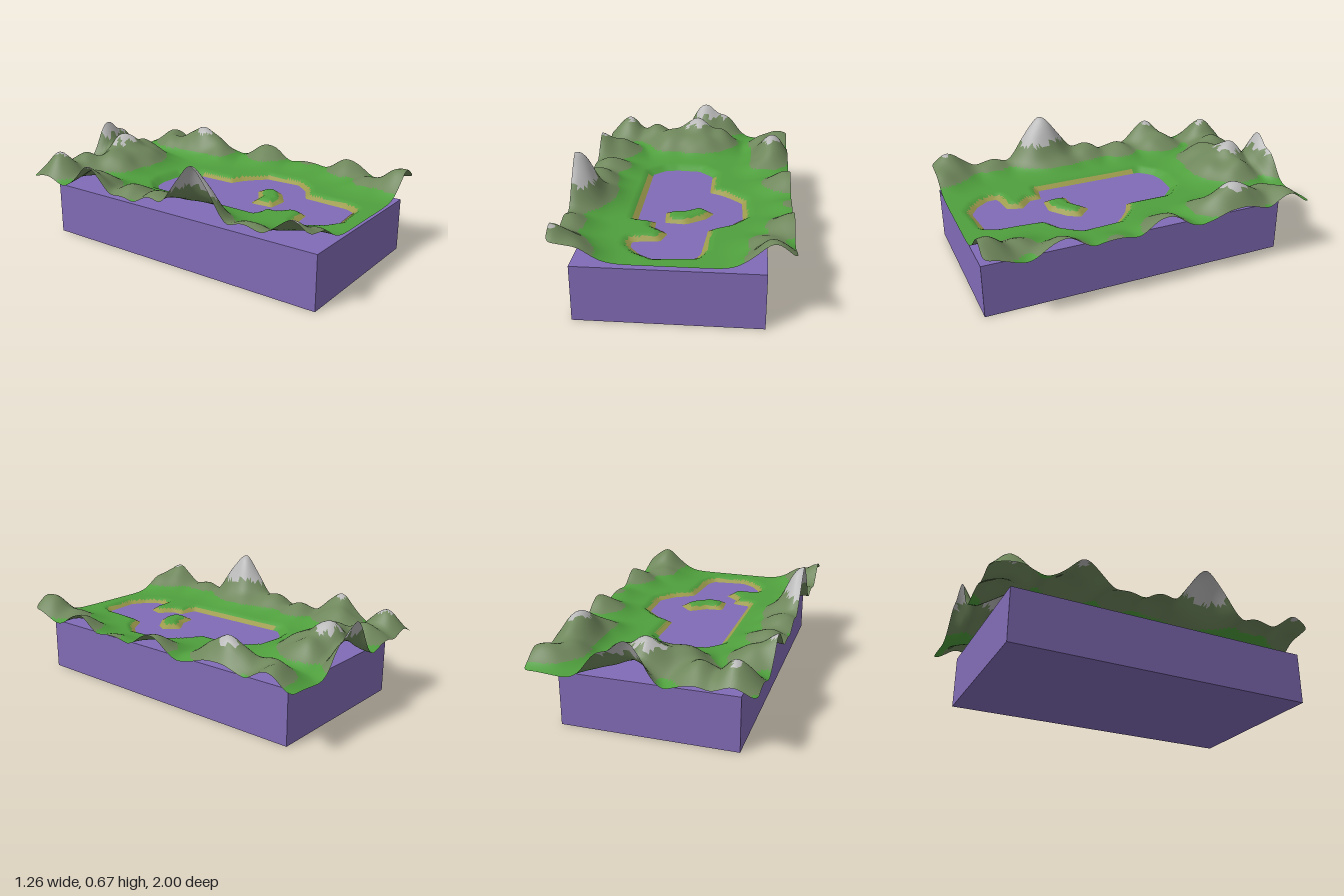
import * as THREE from 'three';

const W = 1.26, D = 2, WATER = 0.318, PLAIN = 0.348;

// hills: x, z, height above the plain, radius in x, radius in z
const hills = [
  [-0.62, 0.27, 0.32, 0.13, 0.17], [-0.5, 0.2, 0.08, 0.12, 0.2],
  [-0.63, 0.9, 0.155, 0.16, 0.16], [-0.5, 0.97, 0.09, 0.12, 0.14], [-0.6, 0.62, 0.08, 0.12, 0.14],
  [-0.56, -0.02, 0.11, 0.13, 0.13], [-0.52, -0.25, 0.09, 0.14, 0.13],
  [-0.63, -0.5, 0.17, 0.13, 0.14], [-0.5, -0.55, 0.11, 0.13, 0.16],
  [-0.5, -0.88, 0.17, 0.12, 0.13], [-0.3, -0.86, 0.125, 0.13, 0.15], [-0.17, -0.72, 0.14, 0.14, 0.16],
  [0, -0.8, 0.205, 0.15, 0.13], [0.02, -0.66, 0.12, 0.18, 0.13], [0.16, -0.77, 0.13, 0.12, 0.14],
  [0.05, -1.02, 0.265, 0.12, 0.1], [0.18, -1.02, 0.18, 0.11, 0.09],
  [0.52, -0.52, 0.187, 0.11, 0.2], [0.46, -0.75, 0.1, 0.1, 0.13], [0.57, -0.84, 0.11, 0.14, 0.11],
  [0.45, -0.35, 0.07, 0.1, 0.12], [0.61, -0.04, 0.112, 0.15, 0.14],
  [0.62, 0.57, 0.112, 0.14, 0.14], [0.52, 0.97, 0.152, 0.13, 0.15], [0.48, 0.78, 0.07, 0.13, 0.14],
  [0.62, 0.27, 0.045, 0.12, 0.16],
];

const lake = [
  [-0.25, -0.28], [-0.18, -0.35], [-0.1, -0.37], [0.05, -0.36], [0.14, -0.27], [0.14, -0.01],
  [0.22, 0.03], [0.28, 0.08], [0.34, 0.14], [0.35, 0.36], [0.28, 0.45], [0.16, 0.52], [0.14, 0.8],
  [0.11, 0.86], [-0.1, 0.88], [-0.18, 0.83], [-0.24, 0.75], [-0.24, 0.69], [-0.09, 0.67],
  [-0.06, 0.58], [-0.14, 0.51], [-0.14, 0.44], [-0.25, 0.42],
];
const island = [
  [-0.1, 0.3], [0, 0.29], [0.1, 0.22], [0.18, 0.3], [0.14, 0.37], [0.03, 0.45], [-0.09, 0.44],
];

// signed distance to a closed outline, negative inside
function outlineDistance(poly, x, z) {
  let best = Infinity, inside = false;
  poly.forEach(([ax, az], i) => {
    const [bx, bz] = poly[(i + 1) % poly.length];
    const ex = bx - ax, ez = bz - az;
    const t = THREE.MathUtils.clamp(((x - ax) * ex + (z - az) * ez) / (ex * ex + ez * ez), 0, 1);
    best = Math.min(best, Math.hypot(x - ax - t * ex, z - az - t * ez));
    if ((az > z) !== (bz > z) && x < ax + ((z - az) / ez) * ex) inside = !inside;
  });
  return inside ? -best : best;
}

// hills blend softly, the shore slopes down below the water surface
function groundHeight(x, z) {
  let sum = 0;
  for (const [hx, hz, h, rx, rz] of hills) {
    const r2 = ((x - hx) / rx) ** 2 + ((z - hz) / rz) ** 2;
    sum += (h * Math.exp(-r2)) ** 3;
  }
  let rise = Math.cbrt(sum);
  rise *= 1 + 0.05 * Math.sin(x * 31 + z * 13) * Math.sin(z * 27 - x * 9);
  const shore = Math.max(outlineDistance(lake, x, z), -outlineDistance(island, x, z));
  const slope = THREE.MathUtils.clamp(shore / 0.045, -1, 1);
  return WATER + (PLAIN - WATER) * slope + rise * THREE.MathUtils.smoothstep(shore, 0, 0.08);
}

// pull points beyond the corner radius back onto a rounded corner
function roundCorner(x, z, r = 0.035) {
  const cx = W / 2 - r, cz = D / 2 - r;
  const dx = Math.abs(x) - cx, dz = Math.abs(z) - cz;
  if (dx <= 0 || dz <= 0) return [x, z];
  const k = Math.max(dx, dz) / Math.hypot(dx, dz);
  return [Math.sign(x) * (cx + dx * k), Math.sign(z) * (cz + dz * k)];
}

function createTerrain() {
  const geo = new THREE.PlaneGeometry(W, D, 72, 114).rotateX(-Math.PI / 2);
  const pos = geo.attributes.position;
  for (let i = 0; i < pos.count; i++) {
    const [x, z] = roundCorner(pos.getX(i), pos.getZ(i));
    pos.setXYZ(i, x, groundHeight(x, z), z);
  }
  geo.computeVertexNormals();

  // sort the faces into bands of colour by height, with a ragged snow line
  const bands = {
    sandyShore: { color: 0x9c9a4c, faces: [] },
    meadow: { color: 0x4f9f3d, faces: [] },
    hillsides: { color: 0x6f875c, faces: [] },
    snowCaps: { color: 0xb9b9b9, faces: [] },
  };
  const index = geo.index.array;
  for (let i = 0; i < index.length; i += 3) {
    const face = [index[i], index[i + 1], index[i + 2]];
    const mean = (get) => face.reduce((s, v) => s + get(v), 0) / 3;
    const x = mean((v) => pos.getX(v)), y = mean((v) => pos.getY(v)), z = mean((v) => pos.getZ(v));
    const snowLine = 0.51 + 0.022 * Math.sin(x * 70 + z * 25) * Math.cos(z * 55);
    const name = y > snowLine ? 'snowCaps' : y > 0.388 ? 'hillsides'
      : y < 0.337 && z > -0.25 ? 'sandyShore' : 'meadow';
    bands[name].faces.push(...face);
  }

  const terrain = new THREE.Group();
  terrain.name = 'terrain';
  for (const [name, { color, faces }] of Object.entries(bands)) {
    const part = geo.clone();
    part.setIndex(faces);
    const mat = new THREE.MeshStandardMaterial({ color, side: THREE.DoubleSide });
    const mesh = new THREE.Mesh(part.toNonIndexed(), mat);
    mesh.name = name;
    terrain.add(mesh);
  }
  return terrain;
}

export function createModel() {
  const model = new THREE.Group();
  model.name = 'lakeLandscape';

  // block of water, its top forms the lake surface
  const water = new THREE.Mesh(
    new THREE.BoxGeometry(1.01, WATER, 1.865),
    new THREE.MeshStandardMaterial({ color: 0x816bb6 }),
  );
  water.position.set(-0.018, WATER / 2, 0.053);
  water.name = 'waterBlock';

  model.add(water, createTerrain());
  return model;
}
